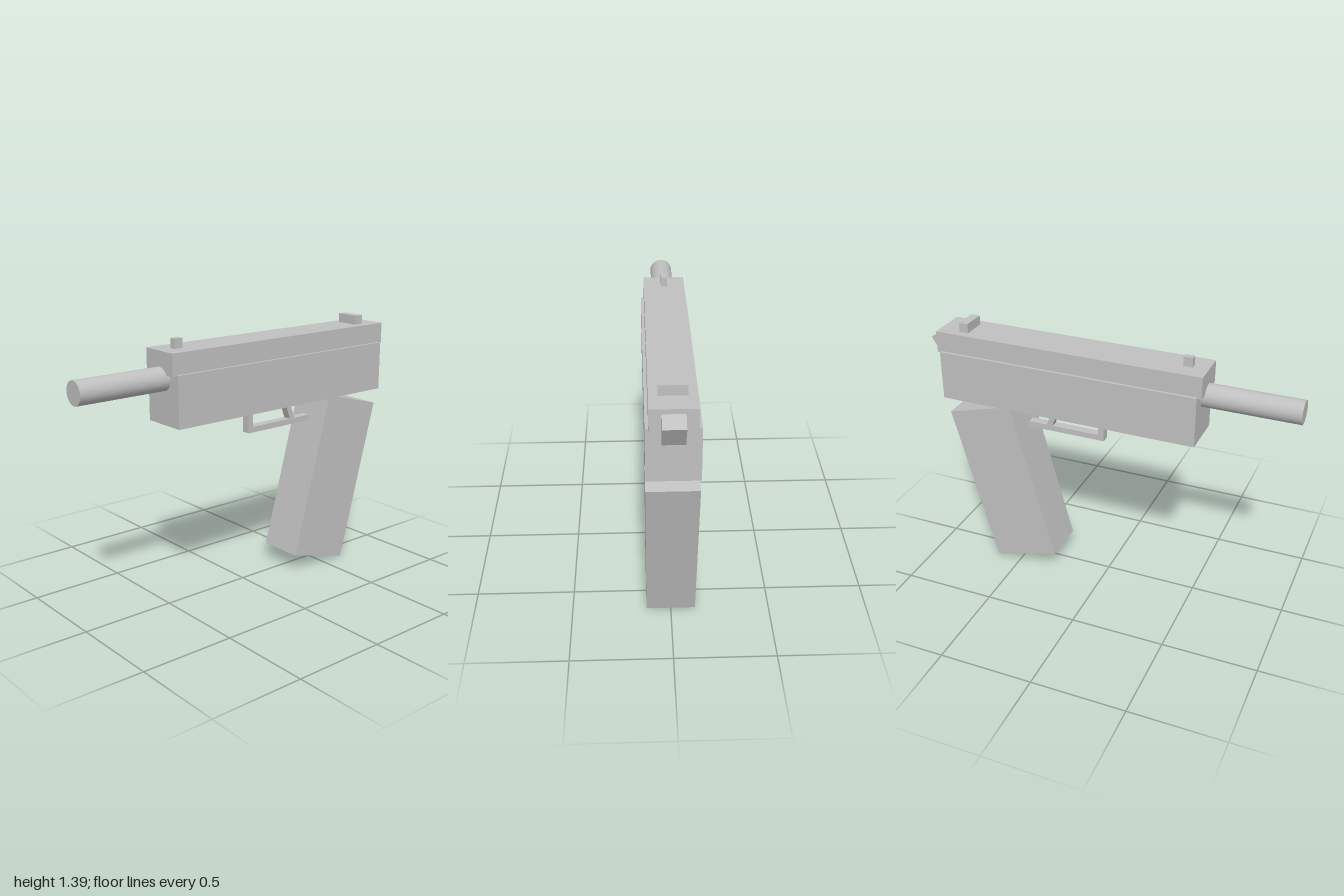
import * as THREE from 'three';

export function createModel() {
  const model = new THREE.Group();
  const grey = new THREE.MeshStandardMaterial({ color: 0xc0c0c0 });
  grey.name = 'plain grey';

  function add(name, geometry, y, z, tilt = 0) {
    const mesh = new THREE.Mesh(geometry, grey);
    mesh.name = name;
    mesh.position.set(0, y, z);
    mesh.rotation.x = tilt;
    model.add(mesh);
  }

  // Upright box given by its width and its y and z ranges
  function block(name, width, y0, y1, z0, z1) {
    add(name, new THREE.BoxGeometry(width, y1 - y0, z1 - z0), (y0 + y1) / 2, (z0 + z1) / 2);
  }

  // Body
  block('frame', 0.248, 0.967, 1.233, -0.91, 0.503);
  block('slide', 0.216, 1.225, 1.34, -0.932, 0.523);

  // Sights
  block('frontSight', 0.032, 1.335, 1.39, 0.395, 0.443);
  block('rearSight', 0.13, 1.335, 1.39, -0.815, -0.765);

  // Barrel along z
  const barrel = new THREE.CylinderGeometry(0.061, 0.061, 0.6, 32).toNonIndexed();
  barrel.rotateX(Math.PI / 2);
  barrel.computeVertexNormals();
  add('barrel', barrel, 1.2, 0.7);

  // Grip and hammer lean backwards at the top
  add('grip', new THREE.BoxGeometry(0.248, 0.916, 0.372), 0.494, -0.578, -Math.PI / 12);
  add('hammer', new THREE.BoxGeometry(0.104, 0.13, 0.1), 1.247, -0.922, -Math.PI / 6);

  // Trigger and its guard
  block('guardPost', 0.048, 0.85, 0.975, -0.052, -0.021);
  block('guardBar', 0.048, 0.835, 0.866, -0.455, -0.021);
  add('trigger', new THREE.BoxGeometry(0.045, 0.13, 0.031), 0.918, -0.314, 0.35);

  return model;
}
